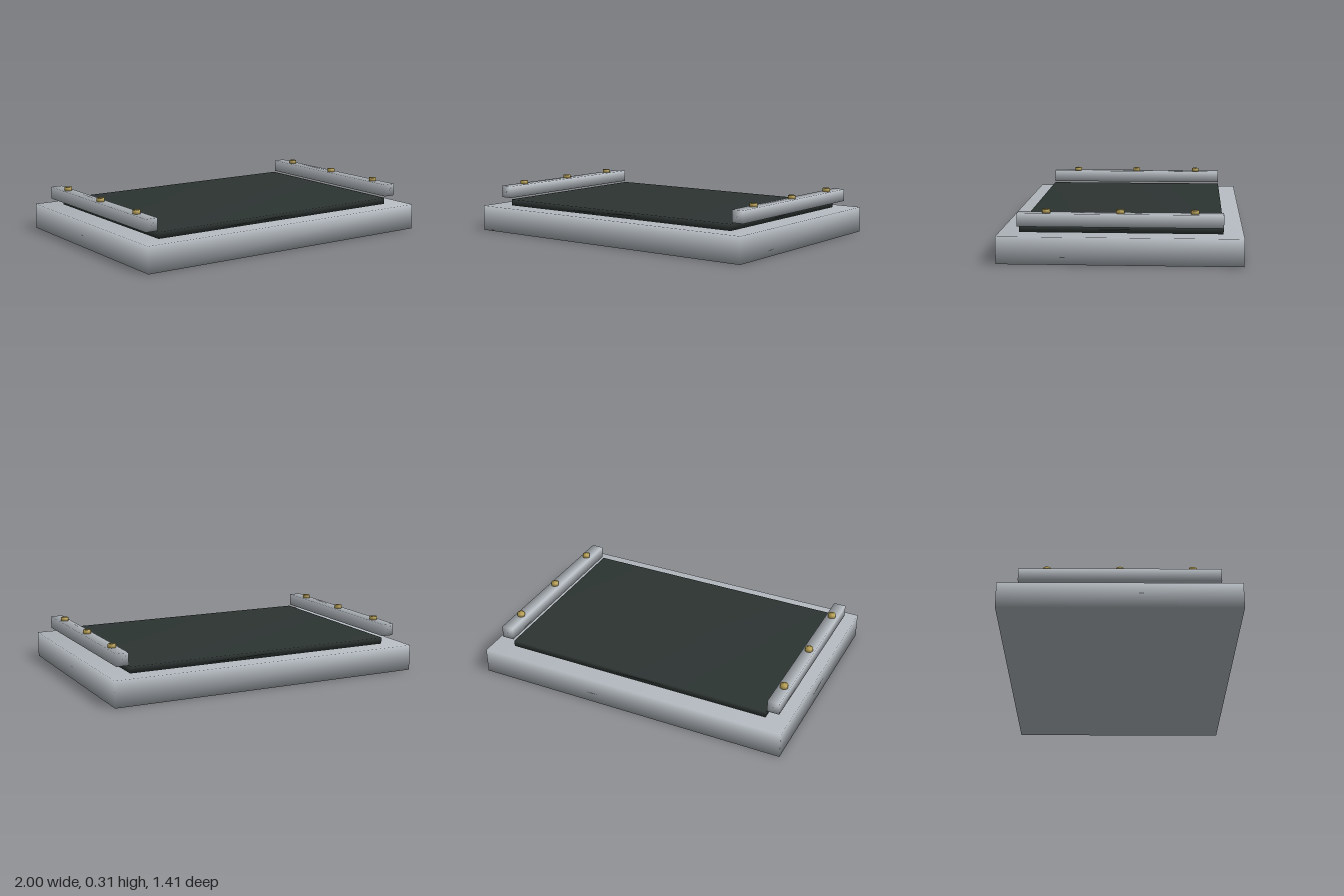
import * as THREE from 'three';
import { mergeVertices } from 'three/addons/utils/BufferGeometryUtils.js';

// Weld shared corners so shading runs smoothly across the edges
function welded(geometry) {
  geometry.deleteAttribute('normal');
  geometry.deleteAttribute('uv');
  const merged = mergeVertices(geometry, 1e-4);
  merged.computeVertexNormals();
  return merged;
}

function part(name, geometry, material, x, y, z) {
  const mesh = new THREE.Mesh(welded(geometry), material);
  mesh.name = name;
  mesh.position.set(x, y, z);
  return mesh;
}

function makeMaterial(name, color) {
  const material = new THREE.MeshStandardMaterial({ color });
  material.name = name;
  return material;
}

export function createModel() {
  const steel = makeMaterial('pale steel', 0xb4bac0);
  const dark = makeMaterial('dark panel', 0x2c3432);
  const brass = makeMaterial('brass', 0xb8a052);

  const model = new THREE.Group();
  model.name = 'framedPanel';

  // Base slab and the dark panel lying on it
  model.add(part('base', new THREE.BoxGeometry(2, 0.16, 1.412), steel, 0, 0.08, 0));
  model.add(part('panel', new THREE.BoxGeometry(1.72, 0.04, 1.18), dark, 0, 0.18, 0));

  // Raised side rails, each with three screws along the top
  for (const side of [1, -1]) {
    const rail = new THREE.Group();
    rail.name = side > 0 ? 'leftRail' : 'rightRail';
    rail.position.x = side * 0.905;
    rail.add(part('bar', new THREE.BoxGeometry(0.076, 0.076, 1.18), steel, 0, 0.246, 0));
    for (const z of [-0.425, 0, 0.425]) {
      rail.add(part('screw', new THREE.CylinderGeometry(0.024, 0.024, 0.024, 16), brass, 0, 0.293, z));
    }
    model.add(rail);
  }
  return model;
}
